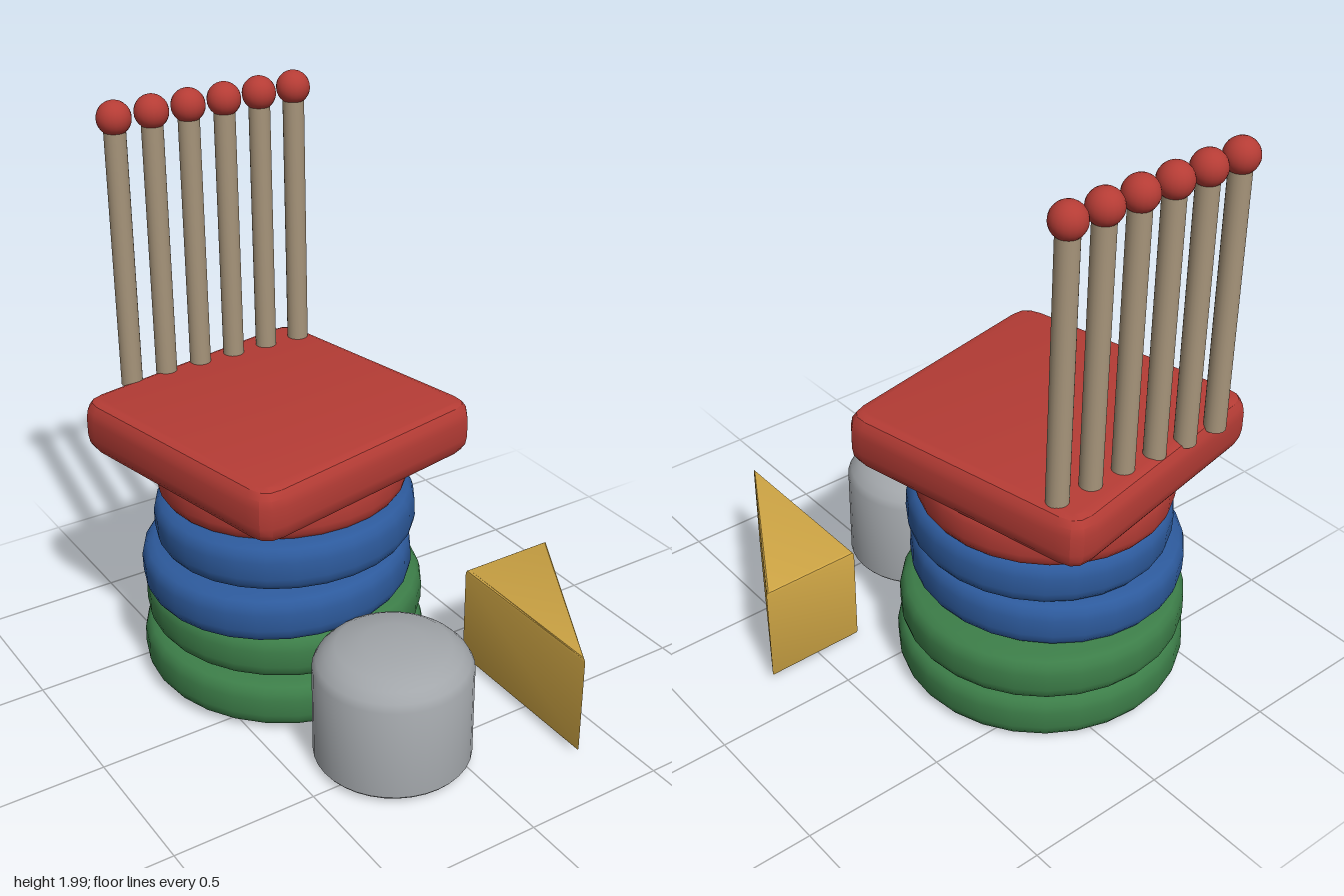
import * as THREE from 'three';
import { toCreasedNormals } from 'three/addons/utils/BufferGeometryUtils.js';

const paint = (name, color) => {
  const material = new THREE.MeshStandardMaterial({ color });
  material.name = name;
  return material;
};

export function createModel() {
  const model = new THREE.Group();
  model.name = 'toyBlocks';

  const red = paint('red', 0xb53c35);
  const blue = paint('blue', 0x2d5a9c);
  const green = paint('green', 0x3c7d48);
  const yellow = paint('yellow', 0xcda444);
  const grey = paint('grey', 0xa2a6aa);
  const wood = paint('wood', 0xa6947a);

  const add = (name, geometry, material, x, y, z) => {
    const mesh = new THREE.Mesh(geometry, material);
    mesh.name = name;
    mesh.position.set(x, y, z);
    model.add(mesh);
    return mesh;
  };

  // Turned solid from [radius, height] pairs, bottom to top
  const turned = (profile, segments) => toCreasedNormals(
    new THREE.LatheGeometry(profile.map(([r, y]) => new THREE.Vector2(r, y)), segments), 0.6);

  // Upright plate with softened edges, standing on y = 0; shape y is -z
  const plate = (shape, height, inset, lift, steps) => {
    const geometry = new THREE.ExtrudeGeometry(shape, {
      depth: height - 2 * lift, bevelEnabled: true, bevelSize: inset, bevelOffset: -inset,
      bevelThickness: lift, bevelSegments: steps, curveSegments: 3,
    });
    geometry.translate(0, 0, lift).rotateX(-Math.PI / 2);
    return toCreasedNormals(geometry, 0.5);
  };

  // Stack of slightly crooked round cushions: material, radius, centre, tilts
  const discs = [
    [green, 0.50, -0.15, 0.10, -0.26, 0.008, -0.02],
    [green, 0.49, -0.135, 0.275, -0.28, 0.008, -0.01],
    [blue, 0.47, -0.18, 0.44, -0.25, -0.015, 0.022],
    [blue, 0.452, -0.15, 0.615, -0.24, -0.035, 0.02],
    [red, 0.435, -0.138, 0.775, -0.275, -0.02, 0.01],
  ];
  discs.forEach(([material, r, x, y, z, tiltX, tiltZ], i) => {
    const h = 0.084;
    const half = [[r, 0.03], [r - 0.006, 0.054], [r - 0.02, 0.074], [r - 0.045, h], [0, h]];
    const profile = [...half.map(([a, b]) => [a, -b]).reverse(), ...half];
    const disc = add(`disc${i + 1}`, turned(profile, 28), material, x, y, z);
    disc.rotation.set(tiltX, 0, tiltZ);
  });

  // Square slab with rounded corners, turned on top of the stack
  const s = 0.48, c = 0.09;
  const square = new THREE.Shape();
  square.moveTo(-s + c, -s);
  square.lineTo(s - c, -s).quadraticCurveTo(s, -s, s, -s + c);
  square.lineTo(s, s - c).quadraticCurveTo(s, s, s - c, s);
  square.lineTo(-s + c, s).quadraticCurveTo(-s, s, -s, s - c);
  square.lineTo(-s, -s + c).quadraticCurveTo(-s, -s, -s + c, -s);
  const slab = add('slab', plate(square, 0.185, 0.04, 0.06, 3), red, -0.159, 0.832, -0.261);
  slab.rotation.y = 0.197;

  // Row of wooden rods with round tips
  const rod = new THREE.CylinderGeometry(0.037, 0.037, 0.91, 20);
  const ball = new THREE.SphereGeometry(0.058, 20, 14);
  for (let i = 0; i < 6; i++) {
    const x = -0.495 + i * 0.134;
    add(`rod${i + 1}`, rod, wood, x, 1.455, -0.678);
    add(`rodTip${i + 1}`, ball, red, x, 1.942, -0.678);
  }

  // Domed cylinder
  const dome = [[0, 0.025], [0.26, 0.025], [0.265, 0.032], [0.265, 0.36], [0.252, 0.385],
    [0.225, 0.412], [0.19, 0.433], [0.1, 0.449], [0, 0.455]];
  add('domedCylinder', turned(dome, 36), grey, -0.16, 0, 0.45);

  // Triangular wedge block
  const triangle = new THREE.Shape();
  triangle.moveTo(0.343, -0.162);
  triangle.lineTo(0.343, -0.805);
  triangle.lineTo(0.702, -0.162);
  triangle.closePath();
  add('wedge', plate(triangle, 0.367, 0.01, 0.012, 2), yellow, 0, 0.024, 0);

  return model;
}
